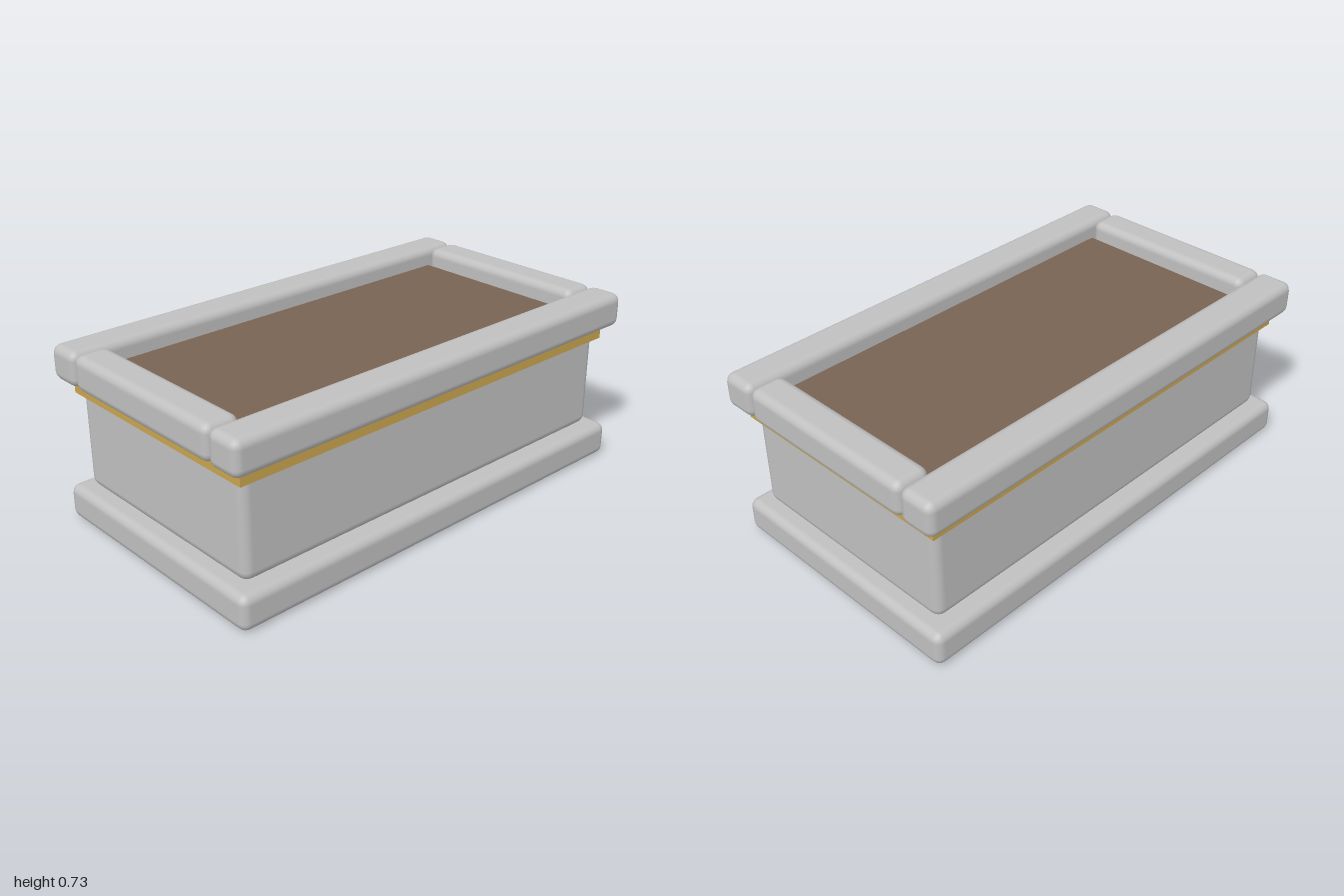
import * as THREE from 'three';
import { RoundedBoxGeometry } from 'three/addons/geometries/RoundedBoxGeometry.js';

export function createModel() {
  const group = new THREE.Group();
  const material = (name, color) => {
    const m = new THREE.MeshStandardMaterial({ color });
    m.name = name;
    return m;
  };
  const stone = material('stone', 0xc0c0c0);
  const gold = material('gold', 0xc9a550);
  const soilBrown = material('soil brown', 0x786353);

  // Adds a box by its size, bottom height and centre; radius rounds the edges
  const addBox = (name, mat, [w, h, d], bottom, radius, x = 0, z = 0) => {
    const geometry = radius
      ? new RoundedBoxGeometry(w, h, d, 2, radius)
      : new THREE.BoxGeometry(w, h, d);
    const mesh = new THREE.Mesh(geometry, mat);
    mesh.name = name;
    mesh.position.set(x, bottom + h / 2, z);
    group.add(mesh);
  };

  // Plinth, planter body and trim band
  addBox('base', stone, [1.976, 0.142, 1.09], 0, 0.035);
  addBox('body', stone, [1.856, 0.446, 0.966], 0.142, 0.04);
  addBox('trimBand', gold, [1.888, 0.055, 1.0], 0.532, 0);

  // Soil bed, sunk a little below the rim
  addBox('soil', soilBrown, [1.7, 0.07, 0.81], 0.58, 0);

  // Rim: long rails front and back, short rails between them
  for (const s of [1, -1]) {
    addBox(s > 0 ? 'frontRail' : 'backRail', stone, [2, 0.142, 0.153], 0.587, 0.035, 0, s * 0.477);
    addBox(s > 0 ? 'leftRail' : 'rightRail', stone, [0.148, 0.142, 0.802], 0.587, 0.035, s * 0.925, 0);
  }
  return group;
}
